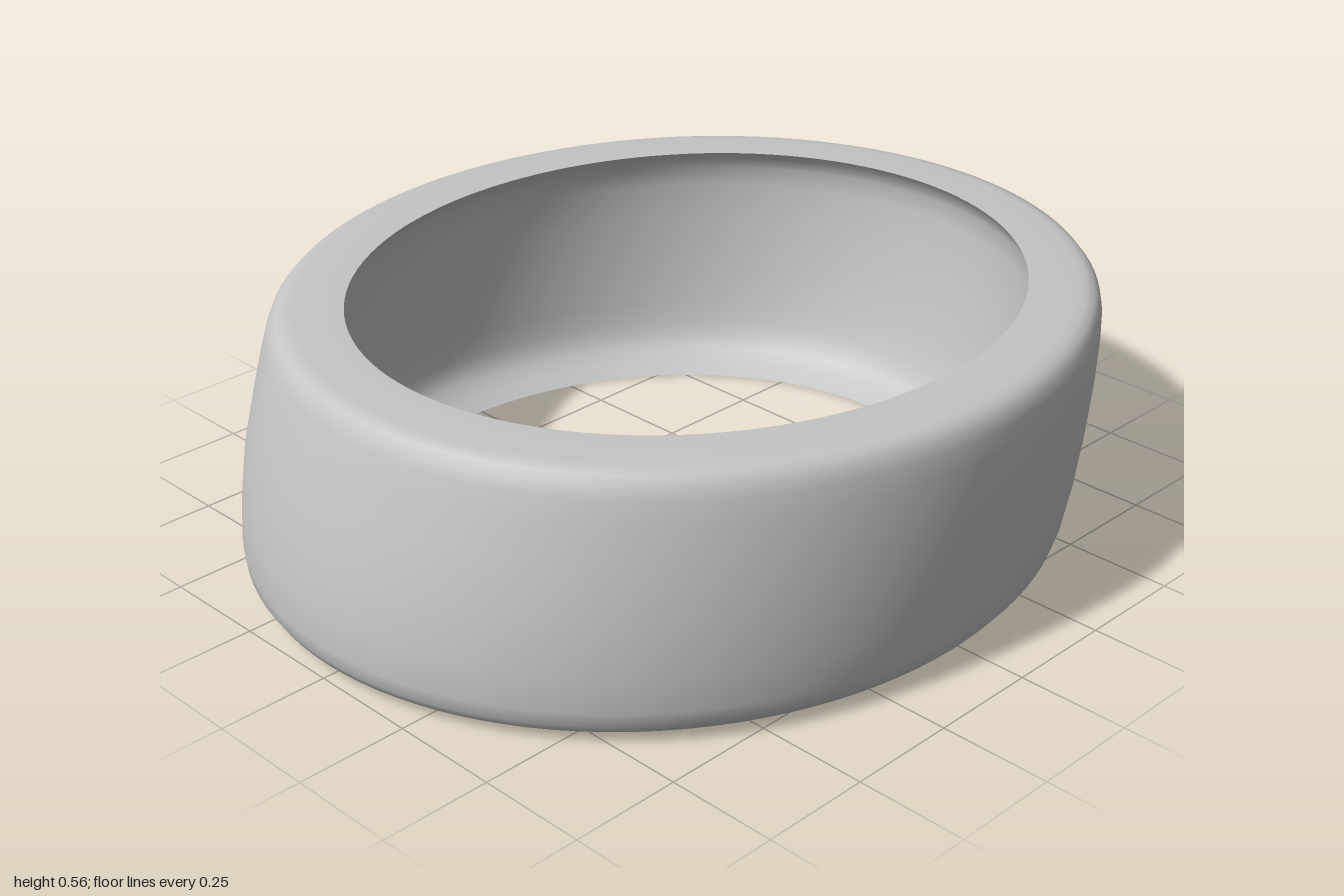
import * as THREE from 'three';
import { toCreasedNormals } from 'three/addons/utils/BufferGeometryUtils.js';

// Cross-sections around the closed ring wall: [height, half width, front z, back z]
const SECTIONS = [
  // outer wall, bottom to top, with rounded edges
  [0.000, 0.790, 0.920, -0.800],
  [0.010, 0.830, 0.960, -0.845],
  [0.025, 0.857, 0.985, -0.880],
  [0.045, 0.872, 0.997, -0.904],
  [0.075, 0.878, 1.000, -0.921],
  [0.150, 0.885, 0.993, -0.942],
  [0.260, 0.888, 0.974, -0.966],
  [0.370, 0.886, 0.942, -0.985],
  [0.460, 0.880, 0.914, -0.996],
  [0.505, 0.874, 0.899, -1.000],
  [0.530, 0.866, 0.889, -0.997],
  [0.546, 0.852, 0.875, -0.985],
  [0.553, 0.835, 0.858, -0.967],
  [0.555, 0.815, 0.840, -0.947],
  // inner wall, top to bottom, bulging between an upper and a lower lip
  [0.555, 0.705, 0.730, -0.845],
  [0.535, 0.728, 0.755, -0.863],
  [0.505, 0.746, 0.775, -0.874],
  [0.460, 0.755, 0.790, -0.872],
  [0.370, 0.761, 0.818, -0.860],
  [0.260, 0.763, 0.849, -0.841],
  [0.150, 0.761, 0.869, -0.815],
  [0.100, 0.758, 0.875, -0.799],
  [0.070, 0.751, 0.873, -0.786],
  [0.045, 0.735, 0.860, -0.769],
  [0.020, 0.700, 0.828, -0.734],
  [0.000, 0.665, 0.790, -0.695],
];

// Joins elliptical sections into a closed, slanted ring
function loftRing(sections, segments) {
  const positions = [];
  const indices = [];
  for (const [y, halfWidth, front, back] of sections) {
    for (let j = 0; j < segments; j++) {
      const a = (j / segments) * Math.PI * 2;
      positions.push(
        halfWidth * Math.sin(a),
        y,
        (front + back) / 2 + ((front - back) / 2) * Math.cos(a)
      );
    }
  }
  const n = sections.length;
  for (let i = 0; i < n; i++) {
    for (let j = 0; j < segments; j++) {
      const k = (j + 1) % segments;
      const next = ((i + 1) % n) * segments;
      const a = i * segments + j, b = i * segments + k;
      indices.push(a, b, next + k, a, next + k, next + j);
    }
  }
  const geometry = new THREE.BufferGeometry();
  geometry.setAttribute('position', new THREE.Float32BufferAttribute(positions, 3));
  geometry.setIndex(indices);
  return toCreasedNormals(geometry, 0.6);
}

export function createModel() {
  const group = new THREE.Group();
  group.name = 'slantedRing';
  const grey = new THREE.MeshStandardMaterial({ color: 0xc4c4c4 });
  grey.name = 'grey';

  const band = new THREE.Mesh(loftRing(SECTIONS, 112), grey);
  band.name = 'band';
  group.add(band);
  return group;
}
